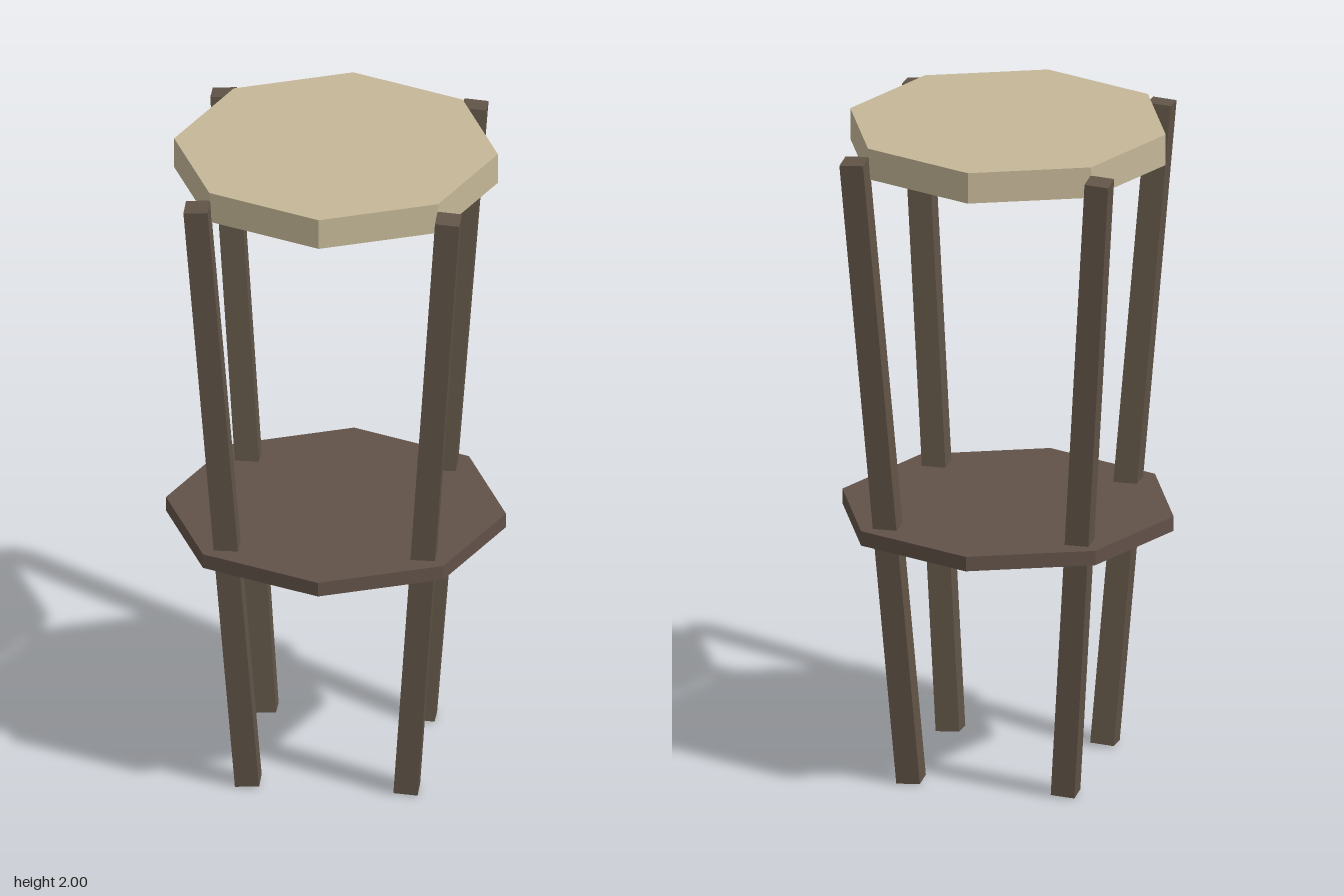
import * as THREE from 'three';

const paleWood = new THREE.MeshStandardMaterial({ color: 0xc4b797, flatShading: true });
paleWood.name = 'pale wood';
const darkWood = new THREE.MeshStandardMaterial({ color: 0x615447, flatShading: true });
darkWood.name = 'dark wood';
const brownWood = new THREE.MeshStandardMaterial({ color: 0x615148, flatShading: true });
brownWood.name = 'brown wood';

// Eight-sided board with its corners on the x and z axes
function octagonBoard(name, radius, bottom, top, material) {
  const board = new THREE.Mesh(new THREE.CylinderGeometry(radius, radius, top - bottom, 8), material);
  board.name = name;
  board.position.y = (top + bottom) / 2;
  return board;
}

export function createModel() {
  const model = new THREE.Group();
  model.name = 'stool';

  model.add(octagonBoard('seat', 0.48, 1.905, 2, paleWood));
  model.add(octagonBoard('shelf', 0.504, 0.765, 0.81, brownWood));

  // Four square legs, splayed outwards towards the top
  const tilt = 0.07;
  const legGeometry = new THREE.BoxGeometry(0.072, 1.973, 0.072);
  for (const sx of [1, -1]) {
    for (const sz of [1, -1]) {
      const leg = new THREE.Mesh(legGeometry, darkWood);
      leg.name = (sz > 0 ? 'front' : 'back') + (sx > 0 ? 'Left' : 'Right') + 'Leg';
      leg.position.set(sx * 0.304, 0.987, sz * 0.304);
      leg.rotation.set(sz * tilt, 0, -sx * tilt);
      model.add(leg);
    }
  }
  return model;
}
